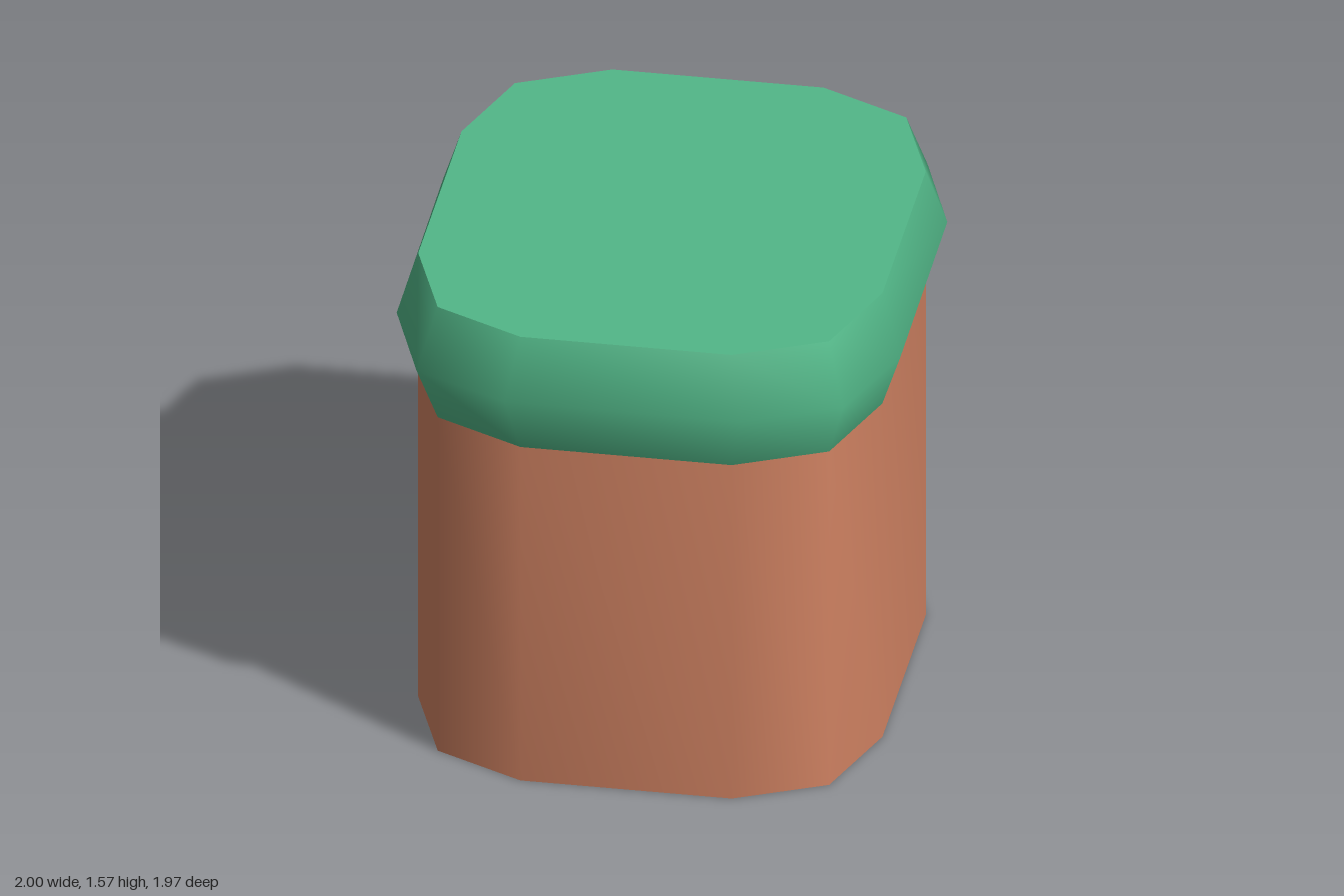
import * as THREE from 'three';

// Half of each twelve-sided outline as [x, z]; the other half is turned by 180 degrees.
const innerHalf = [[0.917, 0.037], [0.747, 0.323], [0.163, 0.792], [-0.151, 0.905], [-0.43, 0.772], [-0.845, 0.265]];
const outerHalf = [[1, 0.04], [0.815, 0.345], [0.17, 0.868], [-0.165, 0.985], [-0.46, 0.843], [-0.92, 0.277]];
const fullOutline = (half) => [...half, ...half.map(([x, z]) => [-x, -z])];
const inner = fullOutline(innerHalf);
const outer = fullOutline(outerHalf);

function makeGeometry(positions, index) {
  const geometry = new THREE.BufferGeometry();
  geometry.setAttribute('position', new THREE.Float32BufferAttribute(positions, 3));
  geometry.setIndex(index);
  geometry.computeVertexNormals();
  return geometry;
}

// Smooth wall through a stack of rings, given as [outline, height] from the bottom up.
function wall(rings) {
  const n = inner.length;
  const positions = [];
  const index = [];
  rings.forEach(([outline, y], r) => {
    outline.forEach(([x, z], i) => {
      positions.push(x, y, z);
      if (r === 0) return;
      const next = (i + 1) % n;
      const a = (r - 1) * n + i, b = (r - 1) * n + next;
      const c = r * n + i, d = r * n + next;
      index.push(a, c, d, a, d, b);
    });
  });
  return makeGeometry(positions, index);
}

// Flat face that closes an outline, facing up or down.
function lid(outline, y, up) {
  const n = outline.length;
  const positions = [0, y, 0];
  const index = [];
  outline.forEach(([x, z], i) => {
    positions.push(x, y, z);
    const a = 1 + i, b = 1 + ((i + 1) % n);
    index.push(0, ...(up ? [b, a] : [a, b]));
  });
  return makeGeometry(positions, index);
}

export function createModel() {
  const model = new THREE.Group();
  const clay = new THREE.MeshStandardMaterial({ color: 0xd08262 });
  clay.name = 'clay brown';
  const green = new THREE.MeshStandardMaterial({ color: 0x52b788 });
  green.name = 'leaf green';

  const add = (name, geometry, material) => {
    const mesh = new THREE.Mesh(geometry, material);
    mesh.name = name;
    model.add(mesh);
  };

  // Straight body
  add('bodyWall', wall([[inner, 0], [inner, 1.18]]), clay);
  add('bodyBase', lid(inner, 0, false), clay);

  // Bulging cap
  add('capRim', wall([[inner, 1.18], [outer, 1.375], [inner, 1.57]]), green);
  add('capTop', lid(inner, 1.57, true), green);
  return model;
}
